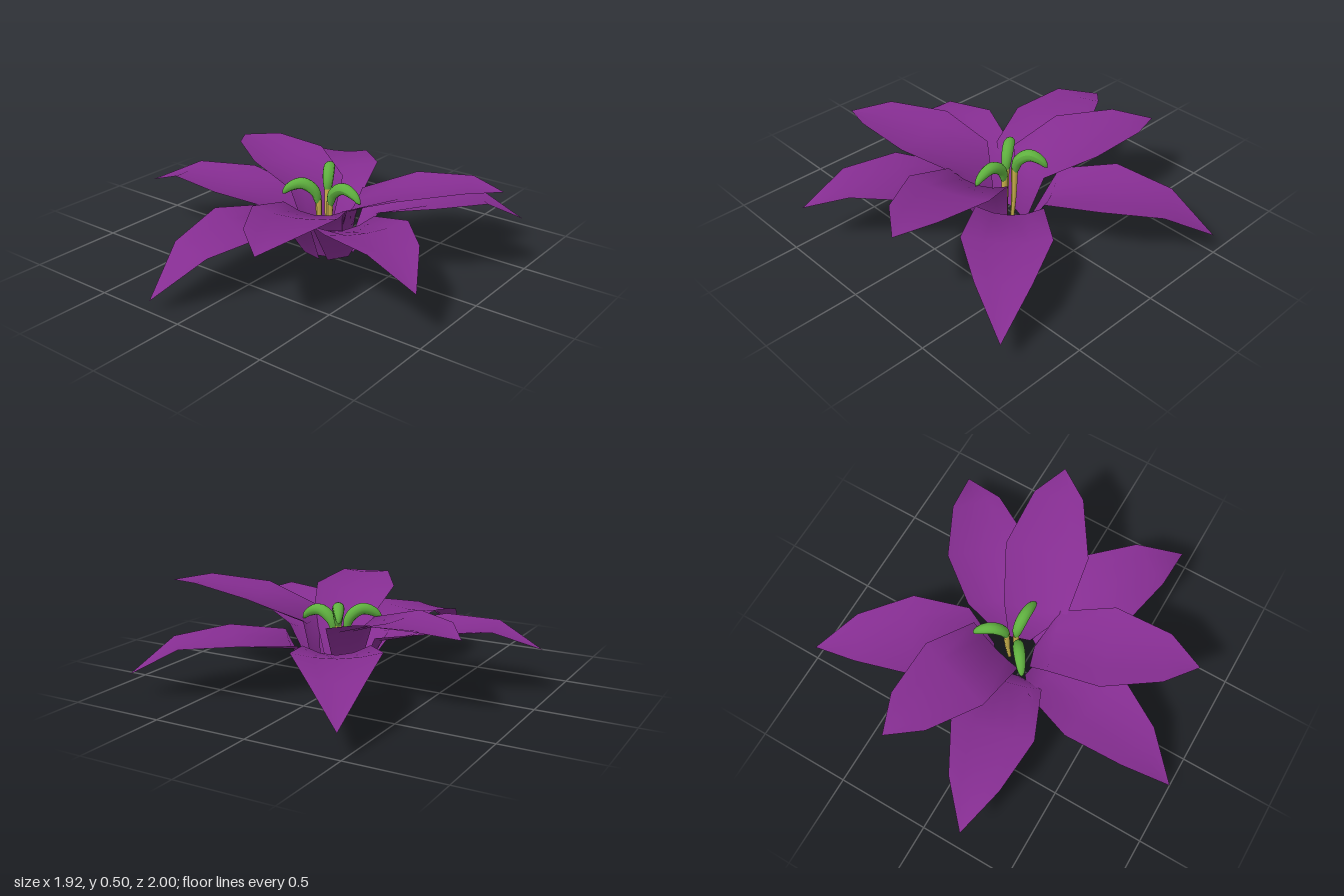
import * as THREE from 'three';

const CX = 0.07, CZ = -0.07; // axis of the flower

// Petal from cross-sections: base, throat, belly, shoulder, tip.
// tip and throat are [x, z]; heights are the edge heights from throat to tip.
function petalGeometry({ tip, throat, heights, inner }) {
  const COLS = 4;
  const dx = tip[0] - throat[0], dz = tip[1] - throat[1];
  const len = Math.hypot(dx, dz);
  const ux = dx / len, uz = dz / len;
  const along = inner ? [0, 0.37, 0.77, 1] : [0, 0.35, 0.71, 1];
  const halfWidth = [0.17, 0.22, 0.132, 0];
  const cup = [0.05, 0.03, 0.012, 0];
  const baseRadius = inner ? 0.09 : 0.12;
  const rows = [{ x: CX + ux * baseRadius, z: CZ + uz * baseRadius, y: 0, w: 0.06, c: 0 }];
  along.forEach((t, i) => rows.push({
    x: throat[0] + dx * t, z: throat[1] + dz * t, y: heights[i], w: halfWidth[i], c: cup[i],
  }));

  const positions = [], index = [];
  rows.forEach((r, i) => {
    for (let j = 0; j <= COLS; j++) {
      const s = (j / COLS) * 2 - 1;
      positions.push(r.x - uz * r.w * s, r.y - r.c * (1 - s * s), r.z + ux * r.w * s);
      if (i < rows.length - 1 && j < COLS) {
        const a = i * (COLS + 1) + j, b = a + COLS + 1;
        index.push(a, a + 1, b);
        if (i < rows.length - 2) index.push(a + 1, b + 1, b);
      }
    }
  });
  // Wind every face so that it looks up into the flower
  for (let k = 0; k < index.length; k += 3) [index[k + 1], index[k + 2]] = [index[k + 2], index[k + 1]];
  const geometry = new THREE.BufferGeometry();
  geometry.setAttribute('position', new THREE.Float32BufferAttribute(positions, 3));
  geometry.setIndex(index);
  geometry.computeVertexNormals();
  return geometry;
}

// Tube whose radius follows profile(t)
function taperedTube(points, profile, segments, sides) {
  const curve = new THREE.CatmullRomCurve3(points);
  const geometry = new THREE.TubeGeometry(curve, segments, 1, sides);
  const pos = geometry.attributes.position, v = new THREE.Vector3();
  for (let i = 0; i < pos.count; i++) {
    const t = Math.floor(i / (sides + 1)) / segments;
    const c = curve.getPointAt(t);
    v.fromBufferAttribute(pos, i).sub(c).multiplyScalar(profile(t)).add(c);
    pos.setXYZ(i, v.x, v.y, v.z);
  }
  geometry.computeVertexNormals();
  return geometry;
}

export function createModel() {
  const purple = new THREE.MeshStandardMaterial({ color: 0x852d91, side: THREE.DoubleSide });
  purple.name = 'petal purple';
  const green = new THREE.MeshStandardMaterial({ color: 0x5fb03f });
  green.name = 'anther green';
  const yellow = new THREE.MeshStandardMaterial({ color: 0xcbb24c, side: THREE.DoubleSide });
  yellow.name = 'stalk yellow';

  const flower = new THREE.Group();
  flower.name = 'flower';
  const add = (name, geometry, material, parent) => {
    const mesh = new THREE.Mesh(geometry, material);
    mesh.name = name;
    parent.add(mesh);
  };

  // Five drooping outer petals and three raised inner petals
  const petals = [
    { tip: [-0.48, -1.0], throat: [-0.06, -0.28], heights: [0.26, 0.31, 0.27, 0.12] },
    { tip: [0.82, -0.82], throat: [0.22, -0.26], heights: [0.26, 0.29, 0.27, 0.12] },
    { tip: [0.95, 0.47], throat: [0.27, 0.08], heights: [0.27, 0.35, 0.355, 0.24] },
    { tip: [-0.18, 1.0], throat: [-0.01, 0.18], heights: [0.27, 0.315, 0.25, 0.06] },
    { tip: [-0.96, 0.21], throat: [-0.16, 0.03], heights: [0.28, 0.335, 0.345, 0.24] },
    { tip: [0.96, -0.28], throat: [0.235, -0.045], heights: [0.34, 0.45, 0.5, 0.485], inner: true },
    { tip: [0.35, 0.85], throat: [0.125, 0.125], heights: [0.33, 0.41, 0.43, 0.39], inner: true },
    { tip: [-0.76, -0.35], throat: [-0.05, -0.12], heights: [0.34, 0.42, 0.43, 0.4], inner: true },
  ];
  petals.forEach((p) => add(p.inner ? 'innerPetal' : 'outerPetal', petalGeometry(p), purple, flower));

  // Three stamens: straight stalks carrying arched anthers
  const stamens = [
    { from: [0.035, -0.1], to: [-0.055, -0.25], lift: 0.05 },
    { from: [0.07, -0.07], to: [0.27, -0.065], lift: 0 },
    { from: [0.03, -0.035], to: [-0.125, 0.08], lift: 0.01 },
  ];
  for (const { from, to, lift } of stamens) {
    const stamen = new THREE.Group();
    stamen.name = 'stamen';
    const at = (t, y) => new THREE.Vector3(
      from[0] + (to[0] - from[0]) * t, y, from[1] + (to[1] - from[1]) * t);
    add('stalk', taperedTube([at(-0.05, 0.005), at(0, 0.15), at(0.02, 0.28 + lift)],
      (t) => 0.01 + 0.008 * t, 8, 8), yellow, stamen);
    add('anther', taperedTube(
      [at(0.02, 0.24 + lift), at(0.12, 0.325 + lift), at(0.45, 0.37 + lift),
        at(0.8, 0.35 + lift), at(1, 0.31 + lift)],
      (t) => 0.031 * Math.pow(Math.max(0, Math.sin(Math.PI * t)), 0.5), 20, 12), green, stamen);
    flower.add(stamen);
  }
  return flower;
}
